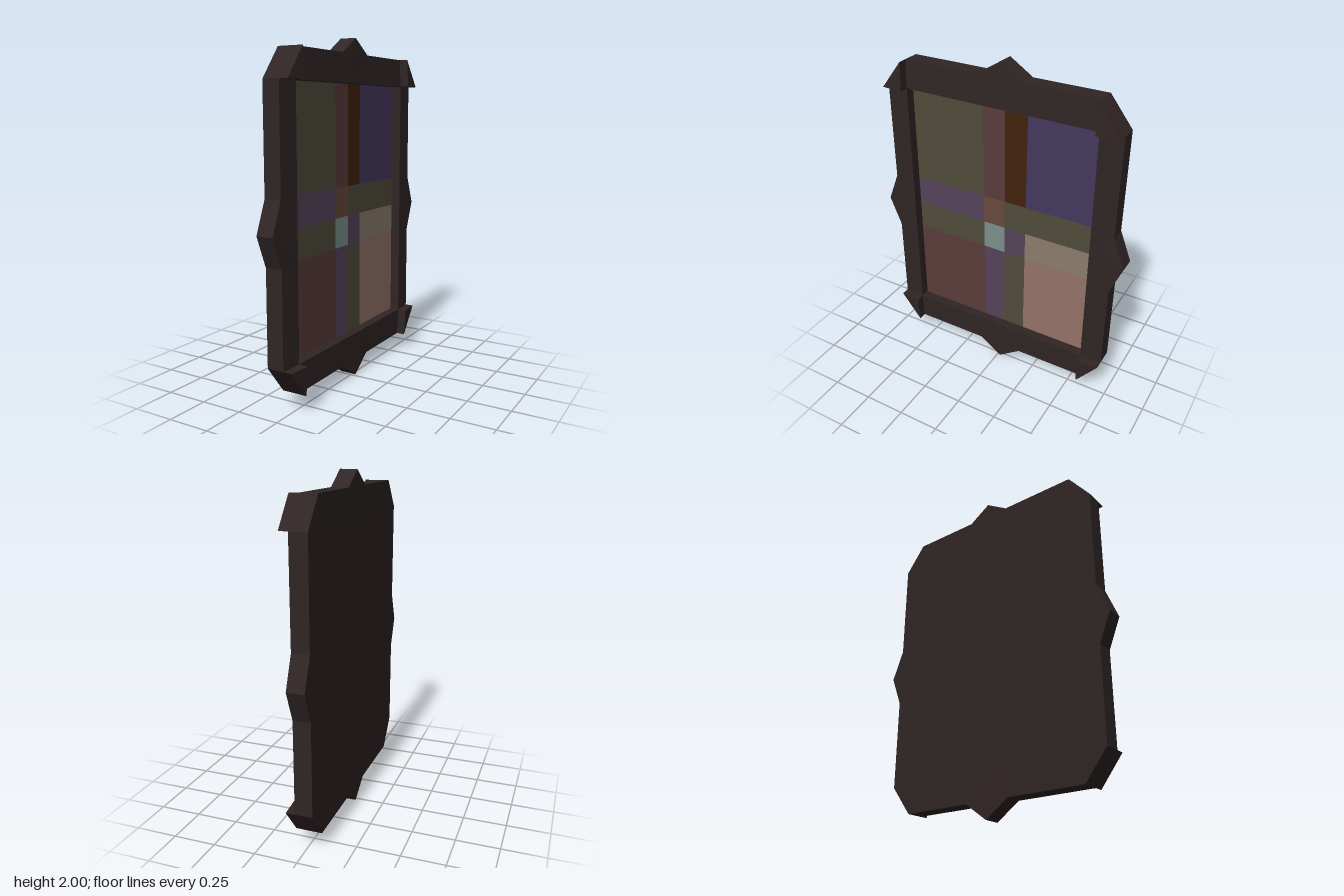
import * as THREE from 'three';
import { ConvexGeometry } from 'three/addons/geometries/ConvexGeometry.js';

const mat = (name, color) => {
  const m = new THREE.MeshStandardMaterial({ color });
  m.name = name;
  return m;
};

// The framed panel faces +x; u runs along -z (rightwards seen from its face).
const U = 0.583, Y0 = 0.265, Y1 = 1.744;      // inner opening
const OU = 0.714, BOTTOM = 0.098, TOP = 1.911; // outer body
const point = (x, u, y) => new THREE.Vector3(x, y, -u);

// Outer silhouette, counter-clockwise from the face side
const OUTLINE = [
  [-U, BOTTOM], [-0.12, BOTTOM], [0.02, 0], [0.157, BOTTOM], [U, BOTTOM],
  [OU, Y0], [OU, 0.8], [0.785, 0.975], [OU, 1.153], [OU, Y1],
  [U, TOP], [0.157, TOP], [0.02, 2], [-0.12, TOP], [-U, TOP],
  [-OU, Y1], [-OU, 1.153], [-0.785, 0.975], [-OU, 0.8], [-OU, Y0],
];

// Skin the outline through successive rings: back, edge, front slope, recess
function frameGeometry() {
  const clamp = THREE.MathUtils.clamp;
  const inner = OUTLINE.map(([u, y]) => [clamp(u, -U, U), clamp(y, Y0, Y1)]);
  const centre = OUTLINE.map(() => [0, 1]);
  const rings = [
    [-0.083, centre], [-0.083, inner], [-0.079, OUTLINE],
    [0.021, OUTLINE], [0.028, inner], [-0.036, inner],
  ].map(([x, pts]) => pts.map(([u, y]) => point(x, u, y)));

  const verts = [];
  const tri = new THREE.Triangle();
  const add = (a, b, c) => {
    if (tri.set(a, b, c).getArea() > 1e-7) verts.push(a, b, c);
  };
  for (let j = 0; j < rings.length - 1; j++) {
    for (let i = 0; i < OUTLINE.length; i++) {
      const k = (i + 1) % OUTLINE.length;
      const a = rings[j][i], b = rings[j][k], c = rings[j + 1][k], d = rings[j + 1][i];
      add(a, b, c);
      add(a, c, d);
    }
  }
  const g = new THREE.BufferGeometry().setFromPoints(verts);
  g.computeVertexNormals();
  return g;
}

export function createModel() {
  const group = new THREE.Group();
  group.name = 'framedPanel';

  const frameMat = mat('dark wood', 0x302525);
  const colors = {
    olive: mat('olive', 0x504c3c),
    red: mat('red brown', 0x5b3c3b),
    orange: mat('burnt orange', 0x43220d),
    indigo: mat('indigo', 0x44385e),
    purple: mat('dusty purple', 0x55425a),
    rust: mat('rust', 0x67483c),
    teal: mat('pale teal', 0x7a9088),
    tan: mat('tan', 0x8a7d6c),
    pink: mat('dusty pink', 0x95736a),
  };

  const frame = new THREE.Mesh(frameGeometry(), frameMat);
  frame.name = 'frame';
  group.add(frame);

  // Raised triangular corner guards
  for (const s of [-1, 1]) {
    for (const [inY, outY] of [[Y0, BOTTOM], [Y1, TOP]]) {
      const guard = new THREE.Mesh(new ConvexGeometry([
        point(0.028, s * U, inY), point(0.021, s * OU, inY), point(0.021, s * U, outY),
        point(0.083, s * U, inY), point(0.073, s * OU, inY), point(0.073, s * U, outY),
      ]), frameMat);
      guard.name = 'cornerGuard';
      group.add(guard);
    }
  }

  // Coloured panes: column from/to, row from/to on the uneven grid
  const cols = [-U, -0.12, 0.02, 0.157, U];
  const rows = [Y0, 0.8, 0.975, 1.153, Y1];
  const panes = [
    ['red', 0, 1, 0, 1], ['purple', 1, 2, 0, 1], ['olive', 2, 3, 0, 1], ['pink', 3, 4, 0, 1],
    ['olive', 0, 1, 1, 2], ['teal', 1, 2, 1, 2], ['purple', 2, 3, 1, 2], ['tan', 3, 4, 1, 2],
    ['purple', 0, 1, 2, 3], ['rust', 1, 2, 2, 3], ['olive', 2, 4, 2, 3],
    ['olive', 0, 1, 3, 4], ['red', 1, 2, 3, 4], ['orange', 2, 3, 3, 4], ['indigo', 3, 4, 3, 4],
  ];
  for (const [color, c0, c1, r0, r1] of panes) {
    const w = cols[c1] - cols[c0], h = rows[r1] - rows[r0];
    const pane = new THREE.Mesh(new THREE.BoxGeometry(0.008, h, w), colors[color]);
    pane.position.copy(point(-0.034, (cols[c0] + cols[c1]) / 2, (rows[r0] + rows[r1]) / 2));
    pane.name = color + 'Pane';
    group.add(pane);
  }
  return group;
}
